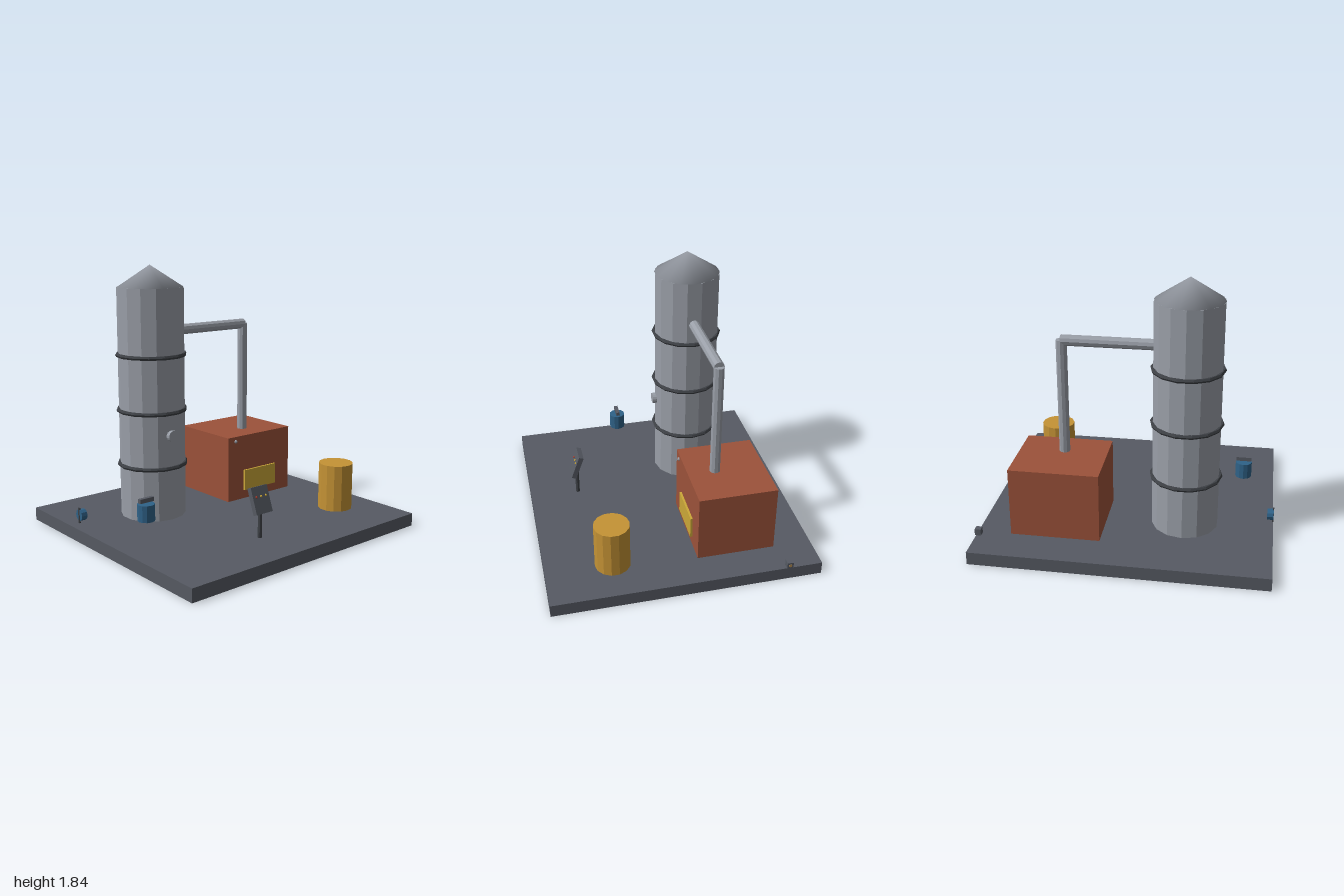
import * as THREE from 'three';

const mat = (name, color, flat = true) => {
  const m = new THREE.MeshStandardMaterial({ color, flatShading: flat });
  m.name = name;
  return m;
};

export function createModel() {
  const model = new THREE.Group();
  model.name = 'distillationPlant';

  const steel = mat('steel', 0x9a9fa8);
  const domeSteel = mat('smoothSteel', 0x9a9fa8, false);
  const iron = mat('darkIron', 0x3e4146);
  const slate = mat('slate', 0x565a63);
  const brick = mat('brick', 0x9c523a);
  const yellow = mat('yellow', 0xcba838);
  const ochre = mat('ochre', 0xc59335);
  const blue = mat('blue', 0x2f6288);
  const red = mat('red', 0xa83a2a);
  const brass = mat('brass', 0xb08a50);

  const add = (name, geo, material, x, y, z, parent = model) => {
    const mesh = new THREE.Mesh(geo, material);
    mesh.name = name;
    mesh.position.set(x, y, z);
    parent.add(mesh);
    return mesh;
  };
  const box = (w, h, d) => new THREE.BoxGeometry(w, h, d);
  const cyl = (r, h, n) => new THREE.CylinderGeometry(r, r, h, n);

  // Ground slab
  add('baseSlab', box(1.99, 0.09, 1.84), slate, -0.005, 0.045, -0.002);

  // Tall column with a pointed cap and three bands
  const cx = -0.39, cz = -0.307;
  add('column', cyl(0.23, 1.6, 14), steel, cx, 0.89, cz);
  add('columnCap', new THREE.SphereGeometry(0.23, 14, 2), domeSteel, cx, 1.69, cz).scale.y = 0.15 / 0.23;
  for (const y of [0.46, 0.845, 1.23]) {
    add('columnBand', new THREE.TorusGeometry(0.234, 0.015, 6, 14).rotateX(Math.PI / 2), iron, cx, y, cz);
  }
  add('columnPort', cyl(0.039, 0.04, 14).rotateX(Math.PI / 2), steel, cx, 0.69, -0.075);

  // Pipe from column to furnace
  add('crossPipe', cyl(0.037, 0.7, 10).rotateZ(Math.PI / 2), steel, 0.103, 1.38, cz);
  add('downPipe', cyl(0.037, 0.83, 10), steel, 0.45, 0.968, cz);

  // Furnace with door and bolt
  add('furnace', box(0.61, 0.485, 0.54), brick, 0.455, 0.3325, -0.385);
  add('furnaceDoor', box(0.31, 0.155, 0.02), yellow, 0.455, 0.2325, -0.11);
  add('furnaceBolt', new THREE.SphereGeometry(0.013, 8, 6), steel, 0.22, 0.54, -0.113);

  // Storage drum
  add('drum', cyl(0.122, 0.333, 14), ochre, 0.682, 0.2565, 0.457);

  // Control stand with a tilted panel and three lights
  add('panelPost', cyl(0.014, 0.22, 8), iron, -0.162, 0.2, 0.57);
  const panel = new THREE.Group();
  panel.name = 'controlPanel';
  panel.position.set(-0.162, 0.347, 0.57);
  panel.rotation.x = -0.35;
  model.add(panel);
  add('panelPlate', box(0.14, 0.18, 0.035), slate, 0, 0, 0, panel);
  [red, yellow, yellow].forEach((m, i) => {
    add('panelLight', new THREE.SphereGeometry(0.008, 8, 6), m, (i - 1) * 0.041, 0.023, 0.018, panel);
  });

  // Bucket with a bar above it
  add('bucket', cyl(0.058, 0.112, 12), blue, -0.773, 0.29, 0.152);
  add('bucketBar', box(0.106, 0.028, 0.027), slate, -0.773, 0.371, 0.152);

  // Valve at the left edge of the slab
  add('valveBody', cyl(0.039, 0.042, 10).rotateZ(Math.PI / 2), blue, -0.977, 0.195, -0.31);
  add('valveBar', box(0.008, 0.105, 0.016), iron, -0.996, 0.193, -0.31);

  // Small junction box at the right edge of the slab
  add('junctionBox', box(0.042, 0.045, 0.043), slate, 0.976, 0.115, -0.692);
  add('junctionKnob', cyl(0.011, 0.006, 8).rotateZ(Math.PI / 2), brass, 0.997, 0.115, -0.692);

  return model;
}
